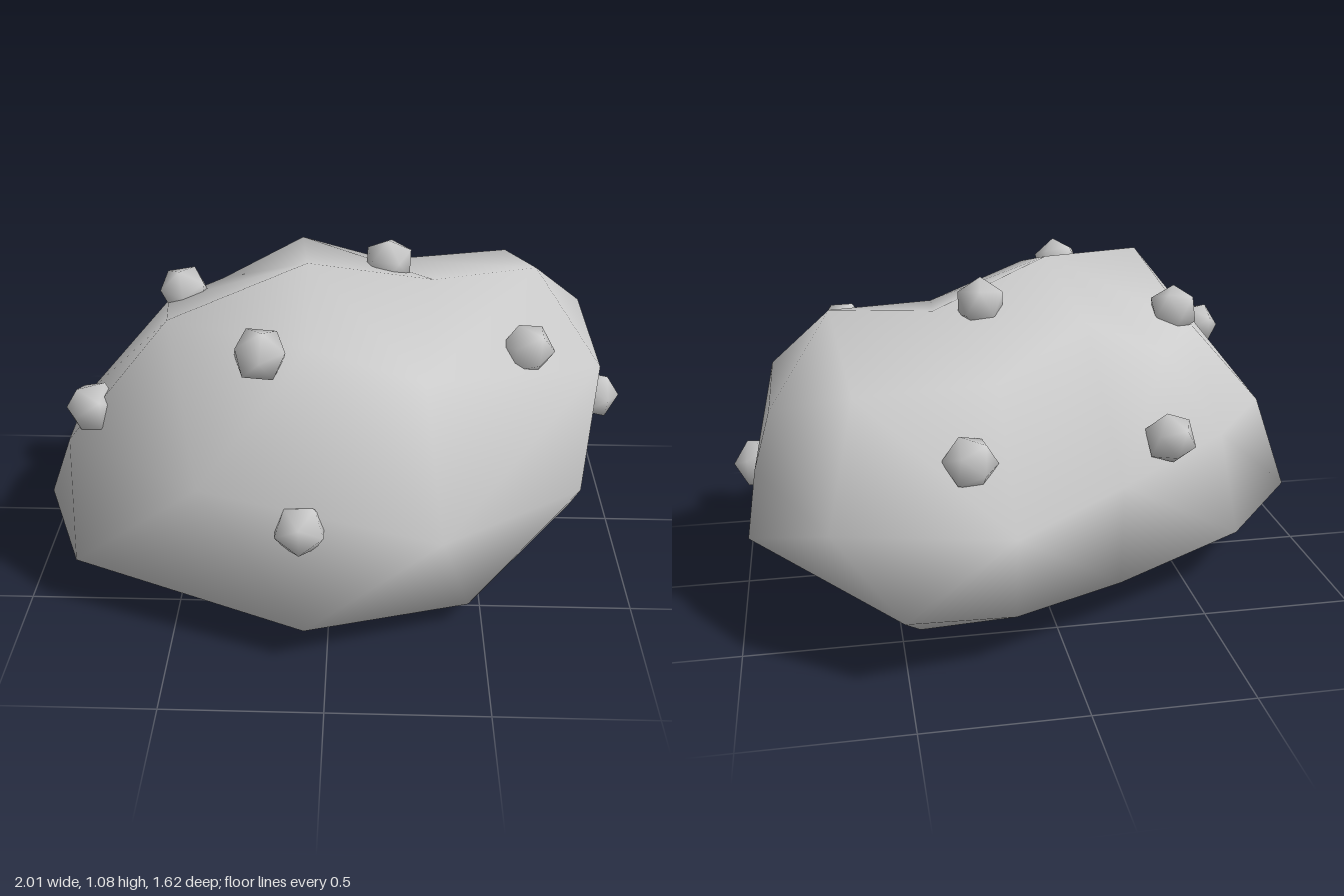
import * as THREE from 'three';
import { mergeVertices } from 'three/addons/utils/BufferGeometryUtils.js';

// Ten-point cross-sections from bottom to top, running from +x through +z
const SECTIONS = [
  // underside
  [[.7, .13, -.25], [.62, .11, .08], [.25, .03, .4], [-.07, 0, .43], [-.45, .05, .35],
    [-.5, .05, .1], [-.3, .04, -.15], [-.07, 0, -.1], [.15, .06, -.45], [.45, .09, -.59]],
  // widest rim
  [[.96, .34, -.37], [.83, .16, .14], [.45, .09, .6], [-.07, .14, .8], [-.82, .2, .55],
    [-1, .17, .12], [-.66, .2, -.32], [-.2, .16, -.53], [.17, .18, -.72], [.51, .24, -.81]],
  // waist
  [[.93, .53, -.28], [.82, .37, .35], [.35, .42, .72], [-.38, .62, .745], [-.81, .62, .48],
    [-.85, .54, .06], [-.6, .55, -.28], [-.2, .5, -.54], [.17, .45, -.75], [.71, .48, -.69]],
  // shoulder
  [[.87, .74, -.32], [.87, .74, .18], [.29, .85, .5], [-.06, .98, .53], [-.48, 1.03, .46],
    [-.56, .86, -.02], [-.4, .84, -.25], [-.12, .97, -.32], [.18, .83, -.45], [.62, .84, -.53]],
];

// Crest points, and which of them each column closes onto
const CREST = [[.67, .98, -.06], [.33, .95, -.02], [-.08, 1.08, .15]];
const CREST_OF_COLUMN = [0, 0, 1, 2, 2, 2, 2, 2, 1, 0];
const BASE = [.05, 0, .1];

// Nodule centres
const NODULES = [
  [-.08, .48, .735], [-.2, .97, .55], [.62, .84, .25], [.92, .48, -.09], [.18, .985, -.08],
  [-.5, .91, 0], [-.73, .72, .45], [.29, .65, -.62], [-.375, .61, -.435],
];

function boulderGeometry() {
  const n = 10;
  const points = [...SECTIONS.flat(), ...CREST, BASE].map((p) => new THREE.Vector3(...p));
  const crestStart = SECTIONS.length * n;
  const rows = [
    Array(n).fill(points.length - 1),
    ...SECTIONS.map((s, r) => s.map((_, i) => r * n + i)),
    CREST_OF_COLUMN.map((c) => crestStart + c),
  ];
  const index = [];
  const face = (a, b, c) => {
    if (a !== b && b !== c && a !== c) index.push(a, b, c);
  };
  const plane = new THREE.Plane();
  // Each four-sided patch is split along the diagonal that bulges outward
  const patch = (a, b, c, d) => {
    plane.setFromCoplanarPoints(points[a], points[c], points[b]);
    if (plane.distanceToPoint(points[d]) > 1e-6) {
      face(a, c, d);
      face(a, d, b);
    } else {
      face(a, c, b);
      face(b, c, d);
    }
  };
  for (let r = 0; r < rows.length - 1; r++) {
    for (let i = 0; i < n; i++) {
      const j = (i + 1) % n;
      patch(rows[r][i], rows[r][j], rows[r + 1][i], rows[r + 1][j]);
    }
  }
  const geometry = new THREE.BufferGeometry().setFromPoints(points);
  geometry.setIndex(index);
  geometry.computeVertexNormals();
  return geometry;
}

// Twenty-sided ball with smooth normals
function noduleGeometry(radius) {
  const raw = new THREE.IcosahedronGeometry(radius, 0);
  raw.deleteAttribute('normal');
  raw.deleteAttribute('uv');
  const geometry = mergeVertices(raw);
  geometry.computeVertexNormals();
  return geometry;
}

export function createModel() {
  const group = new THREE.Group();
  group.name = 'boulder';
  const stone = new THREE.MeshStandardMaterial({ color: 0xcccccc });
  stone.name = 'stone grey';

  const body = new THREE.Mesh(boulderGeometry(), stone);
  body.name = 'rockBody';
  group.add(body);

  const ball = noduleGeometry(0.086);
  NODULES.forEach((p, i) => {
    const nodule = new THREE.Mesh(ball, stone);
    nodule.name = 'nodule' + (i + 1);
    nodule.position.set(...p);
    nodule.rotation.set(i * 1.3, i * 2.1, i * 0.7);
    group.add(nodule);
  });
  return group;
}
